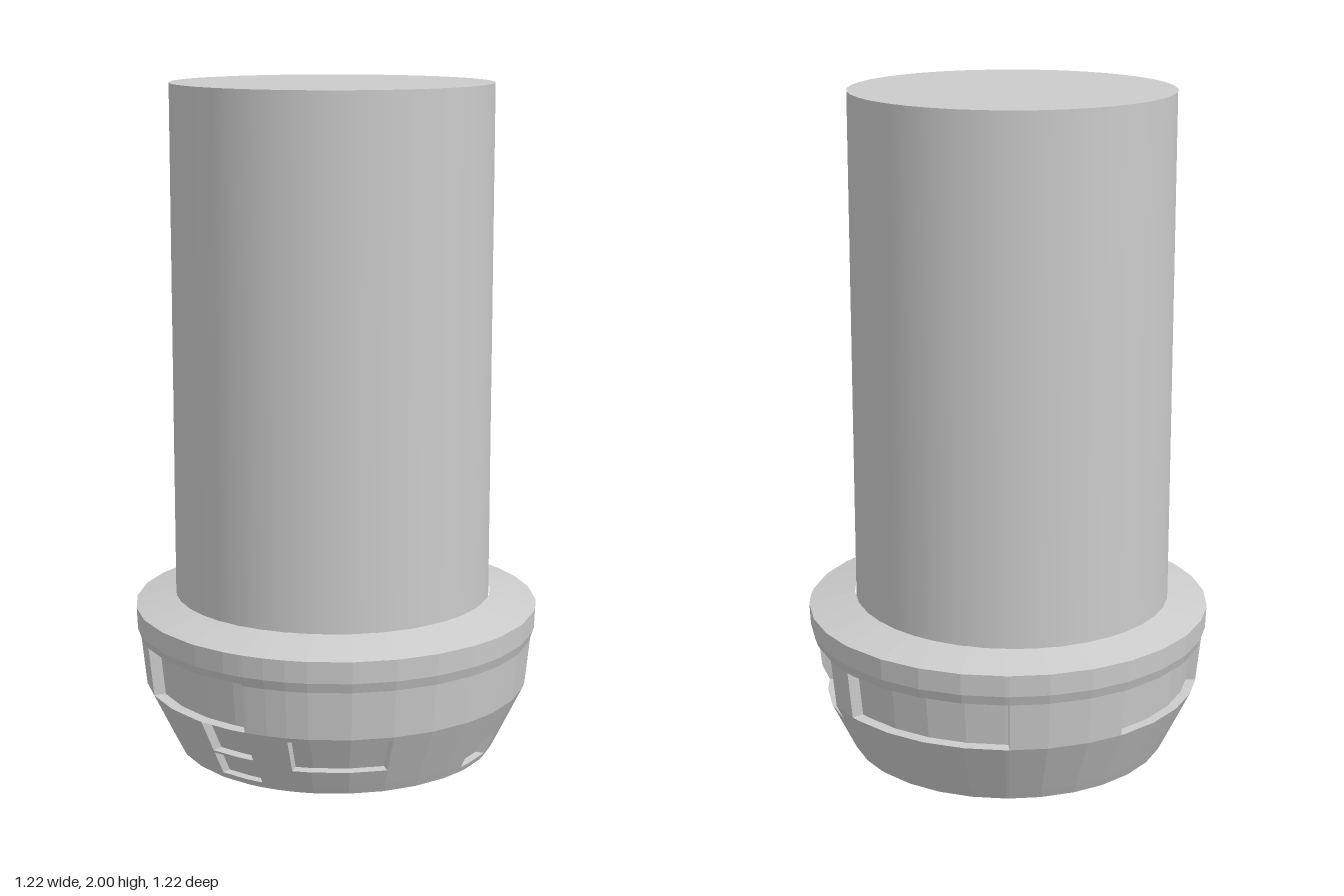
import * as THREE from 'three';

// Outer radius of the flared collar by height
const PROFILE = [[0, 0.485], [0.03, 0.50], [0.2, 0.582], [0.345, 0.597], [0.375, 0.607], [0.44, 0.61], [0.475, 0.47]];

// Recesses in the collar: angle range in degrees (0 = front, 90 = +x), height range, depth
const RECESSES = [
  [-25, 17, 0.2, 0.35, 0.035],
  [2, 17, 0.1, 0.2, 0.03],
  [2, 18, 0.02, 0.09, 0.025],
  [30, 60, 0.08, 0.185, 0.03],
  [92, 107, 0.02, 0.09, 0.025],
  [124, 155, 0.155, 0.35, 0.04],
  [165, 217, 0.2, 0.345, 0.035],
  [251, 298, 0.2, 0.345, 0.03],
];

function profileRadius(y) {
  for (let i = 1; i < PROFILE.length; i++) {
    const [y0, r0] = PROFILE[i - 1], [y1, r1] = PROFILE[i];
    if (y <= y1) return r0 + (r1 - r0) * (y - y0) / (y1 - y0);
  }
  return PROFILE[PROFILE.length - 1][1];
}

function recessDepth(a, y) {
  let depth = 0;
  for (const [a0, a1, y0, y1, d] of RECESSES) {
    const local = (a - a0 + 720) % 360;
    if (local > 0 && local < a1 - a0 && y > y0 && y < y1) depth = Math.max(depth, d);
  }
  return depth;
}

// Grid of rings and columns, with doubled lines at recess edges for steep walls
function collarGeometry() {
  const angles = [], heights = PROFILE.map(p => p[0]);
  for (let a = 0; a < 360; a += 12) angles.push(a);
  for (const [a0, a1, y0, y1] of RECESSES) {
    for (const a of [a0, a1]) angles.push((a - 0.15 + 360) % 360, (a + 0.15 + 360) % 360);
    for (const y of [y0, y1]) heights.push(y - 0.001, y + 0.001);
  }
  const sorted = list => [...new Set(list)].sort((p, q) => p - q);
  const A = sorted(angles), Y = sorted(heights), n = A.length;
  const positions = [], index = [];
  for (const y of Y) for (const a of A) {
    const r = profileRadius(y) - recessDepth(a, y), t = THREE.MathUtils.degToRad(a);
    positions.push(r * Math.sin(t), y, r * Math.cos(t));
  }
  for (let j = 0; j < Y.length - 1; j++) for (let i = 0; i < n; i++) {
    const k = (i + 1) % n, p = j * n + i, q = j * n + k;
    index.push(p, q, q + n, p, q + n, p + n);
  }
  // Flat underside
  const centre = positions.length / 3;
  positions.push(0, 0, 0);
  for (let i = 0; i < n; i++) index.push(centre, (i + 1) % n, i);
  const geometry = new THREE.BufferGeometry();
  geometry.setAttribute('position', new THREE.Float32BufferAttribute(positions, 3));
  geometry.setIndex(index);
  const flat = geometry.toNonIndexed();
  flat.computeVertexNormals();
  return flat;
}

export function createModel() {
  const group = new THREE.Group();

  // Flared, notched collar at the foot
  const collar = new THREE.Mesh(collarGeometry(),
    new THREE.MeshStandardMaterial({ color: 0xcccccc, flatShading: true }));
  collar.name = 'collar';
  group.add(collar);

  // Plain round shaft, slightly off centre
  const shaft = new THREE.Mesh(new THREE.CylinderGeometry(0.475, 0.478, 1.56, 40),
    new THREE.MeshStandardMaterial({ color: 0xcccccc }));
  shaft.name = 'shaft';
  shaft.position.set(-0.015, 1.22, 0);
  group.add(shaft);

  return group;
}
